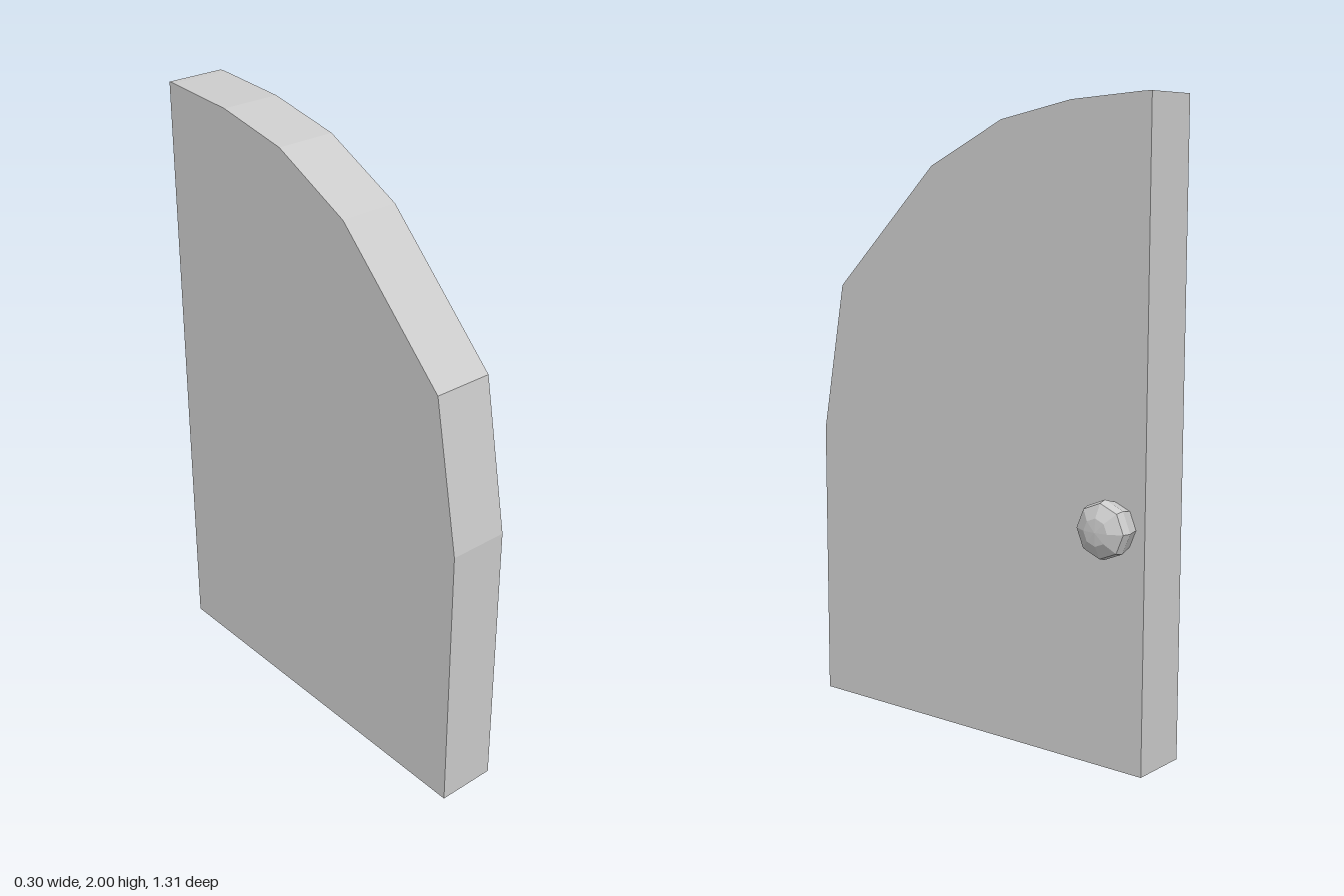
import * as THREE from 'three';

const material = new THREE.MeshStandardMaterial({ color: 0xcccccc, flatShading: true });

// Door panel: half-arch outline (z, y) extruded through its thickness
function createPanel() {
  const outline = [
    [-0.655, 0], [0.655, 0], [0.655, 0.92], [0.565, 1.41], [0.165, 1.8],
    [-0.115, 1.935], [-0.375, 1.985], [-0.63, 2], [-0.655, 2],
  ].map(([z, y]) => new THREE.Vector2(z, y));
  const geometry = new THREE.ExtrudeGeometry(new THREE.Shape(outline), {
    depth: 0.195, bevelEnabled: false,
  });
  geometry.rotateY(-Math.PI / 2).translate(0.045, 0, 0);
  const panel = new THREE.Mesh(geometry, material);
  panel.name = 'doorPanel';
  return panel;
}

// Knob: eight-sided turned profile (radius, distance from the door face)
function createKnob() {
  const profile = [
    [0, -0.01], [0.074, -0.01], [0.078, 0.01], [0.09, 0.05],
    [0.083, 0.075], [0.042, 0.098], [0, 0.102],
  ].map(([r, d]) => new THREE.Vector2(r, d));
  const geometry = new THREE.LatheGeometry(profile, 8).rotateZ(-Math.PI / 2);
  const knob = new THREE.Mesh(geometry, material);
  knob.name = 'knob';
  knob.position.set(0.045, 0.747, -0.548);
  return knob;
}

export function createModel() {
  const group = new THREE.Group();
  group.name = 'archedDoor';
  group.add(createPanel(), createKnob());
  return group;
}
